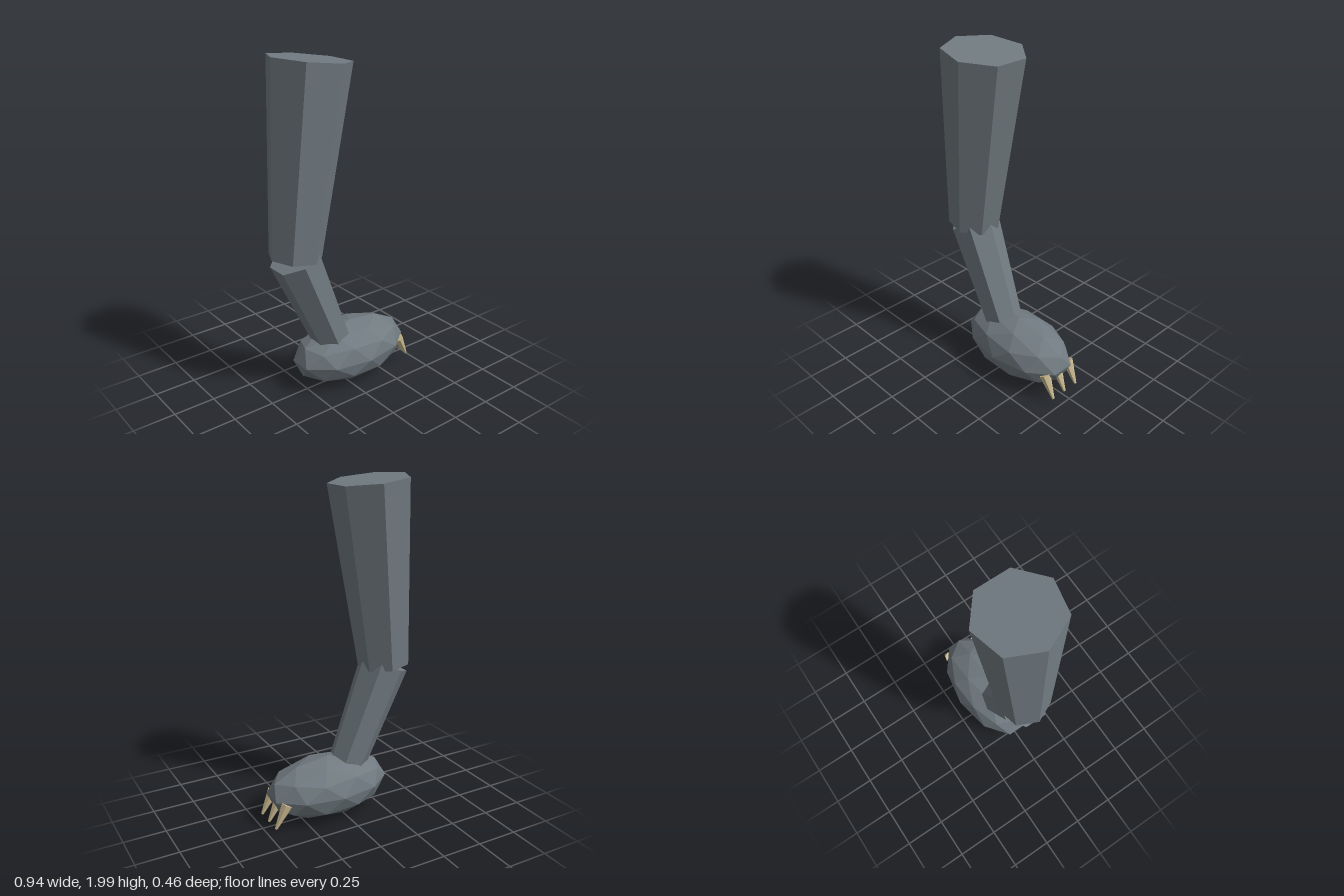
import * as THREE from 'three';

const hide = new THREE.MeshStandardMaterial({ color: 0x707a80, flatShading: true });
const horn = new THREE.MeshStandardMaterial({ color: 0xc8b88f, flatShading: true });

// Seven-sided tapered segment between two points of the xy plane, with one corner facing side * x
function segment(name, top, bottom, rTop, rBottom, side, material, z = 0) {
  const dx = top[0] - bottom[0], dy = top[1] - bottom[1];
  const geometry = new THREE.CylinderGeometry(
    rTop, rBottom, Math.hypot(dx, dy), 7, 1, false, side * Math.PI / 2);
  const mesh = new THREE.Mesh(geometry, material);
  mesh.name = name;
  mesh.position.set((top[0] + bottom[0]) / 2, (top[1] + bottom[1]) / 2, z);
  mesh.rotation.z = -Math.atan2(dx, dy);
  return mesh;
}

export function createModel() {
  const model = new THREE.Group();
  model.name = 'clawedLeg';

  // Thigh and shin meet at the knee and bend in opposite directions
  const knee = [-0.317, 0.895];
  model.add(segment('upperLeg', [-0.201, 1.976], knee, 0.235, 0.154, -1, hide));
  model.add(segment('lowerLeg', knee, [-0.023, 0.2], 0.15, 0.109, 1, hide));

  // Paw: faceted ball turned to stand on a pole, then stretched
  const ball = new THREE.IcosahedronGeometry(1, 1);
  ball.rotateX(-Math.atan((1 + Math.sqrt(5)) / 2));
  ball.rotateY(Math.PI / 2);
  ball.scale(0.39, 0.183, 0.22);
  const paw = new THREE.Mesh(ball, hide);
  paw.name = 'paw';
  paw.position.set(0.07, 0.191, 0);
  model.add(paw);

  // Three blunt-tipped claws
  const claws = new THREE.Group();
  claws.name = 'claws';
  for (const z of [-0.097, 0, 0.097]) {
    claws.add(segment('claw', [0.385, 0.18], [0.459, 0.042], 0.035, 0.008, 1, horn, z));
  }
  model.add(claws);

  return model;
}
